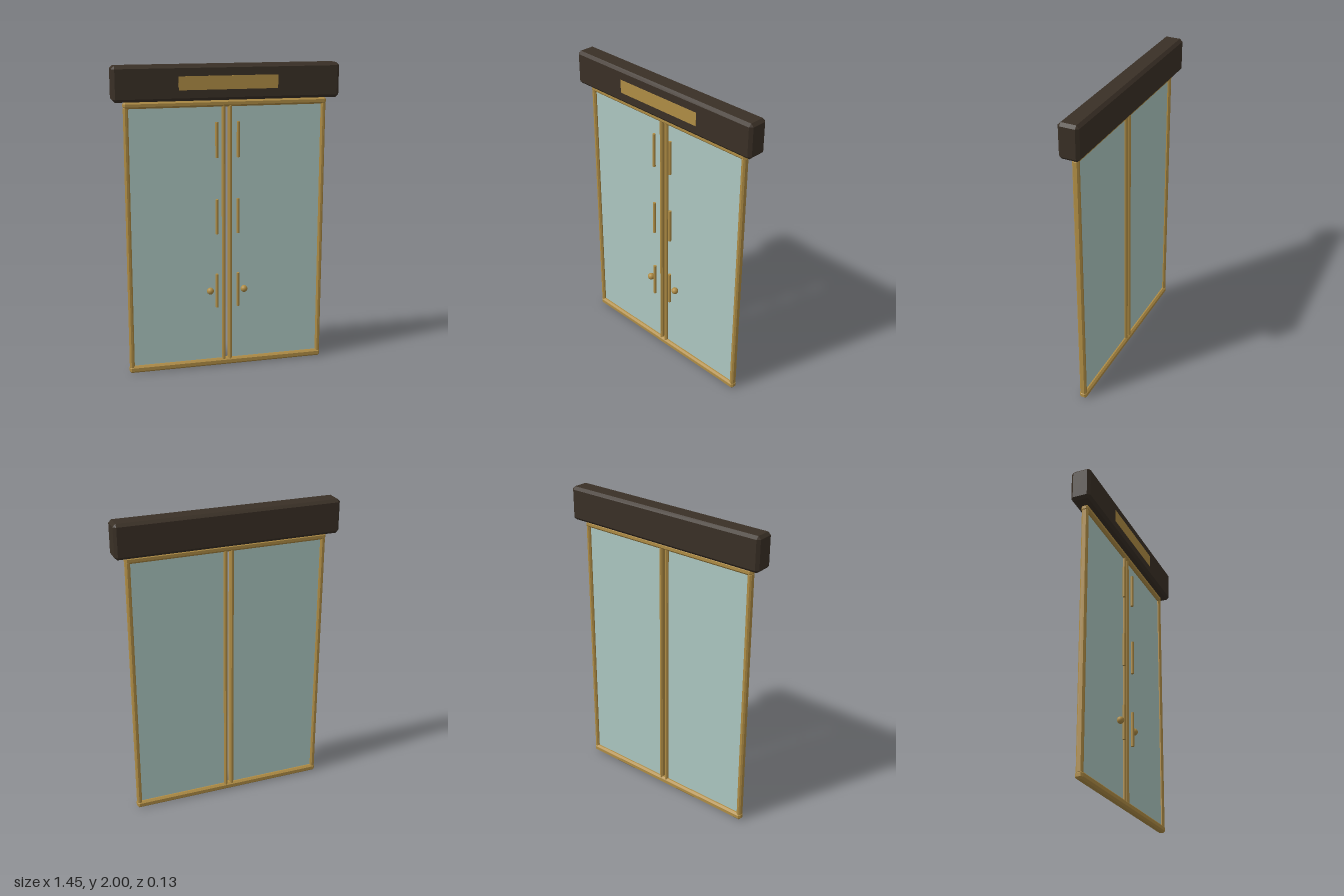
import * as THREE from 'three';
import { ConvexGeometry } from 'three/addons/geometries/ConvexGeometry.js';

const mat = (name, color) => {
  const m = new THREE.MeshStandardMaterial({ color });
  m.name = name;
  return m;
};

// Box with every edge cut at 45 degrees
function chamferBox(w, h, d, c) {
  const pts = [];
  for (const sx of [-1, 1]) for (const sy of [-1, 1]) for (const sz of [-1, 1]) {
    for (let axis = 0; axis < 3; axis++) {
      const p = [w / 2, h / 2, d / 2].map((v, i) => (i === axis ? v : v - c));
      pts.push(new THREE.Vector3(p[0] * sx, p[1] * sy, p[2] * sz));
    }
  }
  return new ConvexGeometry(pts);
}

export function createModel() {
  const brass = mat('brass', 0xb08d45);
  const darkWood = mat('darkWood', 0x3a3026);
  const glass = mat('paleGlass', 0xadc8c2);

  const model = new THREE.Group();
  model.name = 'doubleGlassDoor';
  const add = (parent, name, geo, material, x, y, z) => {
    const mesh = new THREE.Mesh(geo, material);
    mesh.name = name;
    mesh.position.set(x, y, z);
    parent.add(mesh);
    return mesh;
  };

  // Header with its blank brass plate
  add(model, 'header', chamferBox(1.452, 0.22, 0.132, 0.018), darkWood, 0, 1.89, 0);
  add(model, 'headerPlate', new THREE.BoxGeometry(0.634, 0.085, 0.004), brass, 0, 1.89, 0.066);

  // Horizontal rails
  add(model, 'topRail', chamferBox(1.312, 0.042, 0.05, 0.012), brass, 0, 1.756, 0);
  add(model, 'bottomRail', chamferBox(1.312, 0.046, 0.05, 0.012), brass, 0, 0.023, 0);

  const stileH = 1.72;
  const midY = 0.89;
  const outerStile = chamferBox(0.03, stileH, 0.042, 0.009);
  const innerStile = chamferBox(0.024, stileH, 0.042, 0.008);
  const pane = new THREE.BoxGeometry(0.61, 1.71, 0.008);
  const handle = new THREE.CylinderGeometry(0.01, 0.01, 0.228, 16);
  const knob = new THREE.SphereGeometry(0.023, 20, 14);

  // Mirrored door leaves
  for (const s of [-1, 1]) {
    const leaf = new THREE.Group();
    leaf.name = s > 0 ? 'leftDoor' : 'rightDoor';
    model.add(leaf);
    add(leaf, 'outerStile', outerStile, brass, s * 0.639, midY, 0);
    add(leaf, 'innerStile', innerStile, brass, s * 0.021, midY, 0);
    add(leaf, 'glassPane', pane, glass, s * 0.33, midY, 0);
    for (const y of [0.528, 1.028, 1.526]) {
      add(leaf, 'pullHandle', handle, brass, s * 0.07, y, 0.027);
    }
    add(leaf, 'knob', knob, brass, s * 0.114, 0.527, 0.021);
  }
  return model;
}
